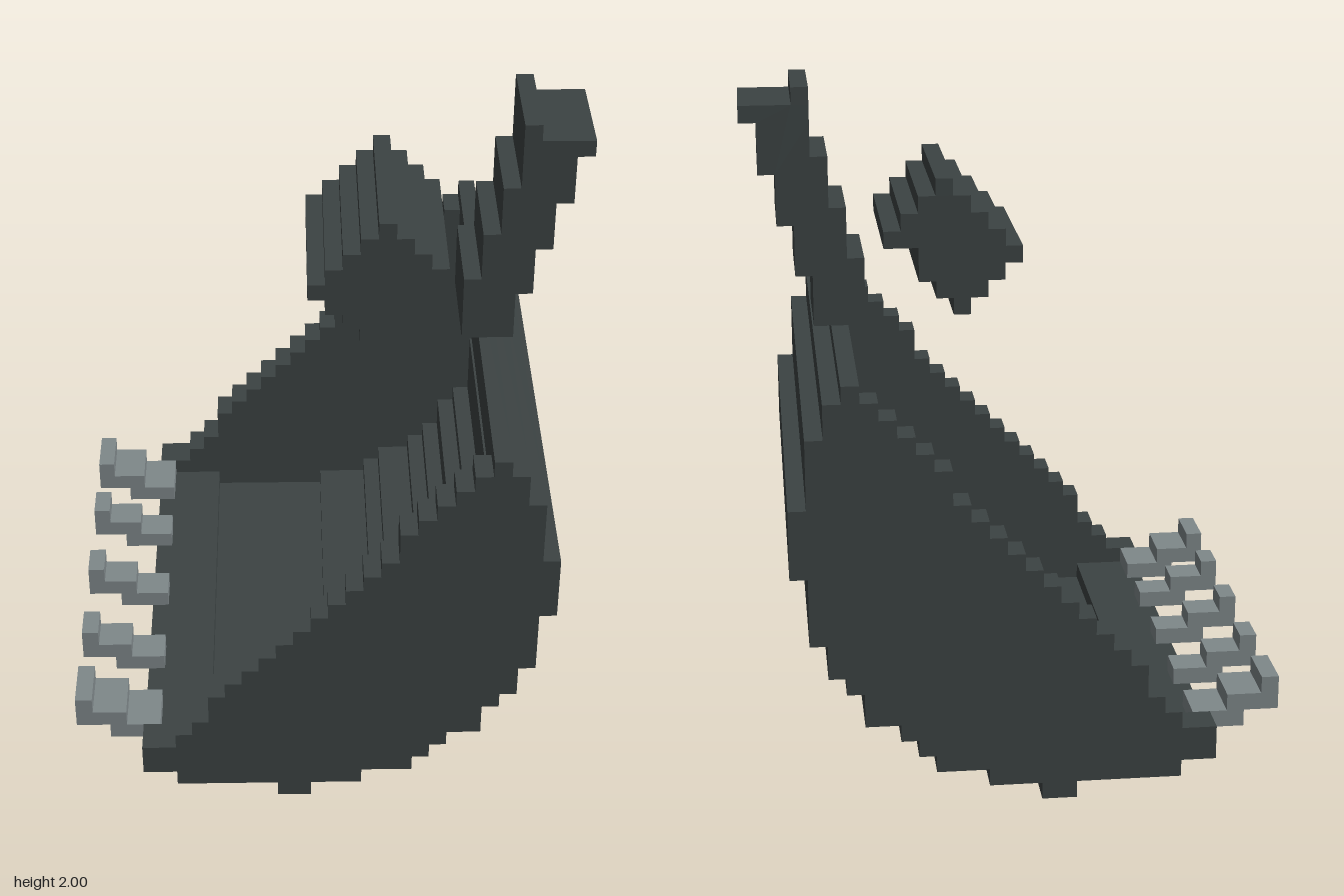
import * as THREE from 'three';

const U = 2 / 39; // size of one grid step

const steel = new THREE.MeshStandardMaterial({ color: 0x3c4343 });
steel.name = 'dark steel';
const worn = new THREE.MeshStandardMaterial({ color: 0x7f888a });
worn.name = 'worn grey';

// Stepped profile: each entry is [left, right, rowCount], stacked up from row y0; extruded from z0 to z1
function stepped(name, material, y0, rows, z0, z1) {
  const leftSide = [], rightSide = [];
  let y = y0;
  for (const [l, r, n = 1] of rows) {
    leftSide.push([l, y], [l, y + n]);
    rightSide.push([r, y], [r, y + n]);
    y += n;
  }
  const outline = [...rightSide, ...leftSide.reverse()]
    .filter((p, i, a) => i === 0 || p[0] !== a[i - 1][0] || p[1] !== a[i - 1][1])
    .map(([px, py]) => new THREE.Vector2((px - 15) * U, py * U));
  const geometry = new THREE.ExtrudeGeometry(new THREE.Shape(outline), {
    depth: (z1 - z0) * U, bevelEnabled: false,
  });
  geometry.translate(0, 0, z0 * U);
  const mesh = new THREE.Mesh(geometry, material);
  mesh.name = name;
  return mesh;
}

export function createModel() {
  const model = new THREE.Group();
  model.name = 'diggerBucket';

  // Side plates
  const side = [
    [12, 14], [6, 17], [4, 20], [4, 21], [6, 22], [7, 24], [8, 24], [8, 25], [9, 26], [10, 26],
    [11, 27], [12, 27], [13, 27], [14, 27], [15, 28], [16, 28], [17, 28], [18, 28],
    [19, 27, 2], [20, 27], [21, 27], [22, 26], [23, 26], [24, 25],
  ];
  model.add(stepped('leftCheek', steel, 0, side, 13, 15));
  model.add(stepped('rightCheek', steel, 0, side, -15, -13));

  // Curved floor and back between the plates
  const shell = [
    [12, 14], [6, 17], [15, 20], [18, 21], [19, 22], [21, 24], [22, 24], [23, 25], [23, 26], [24, 26],
    [25, 27, 4], [26, 28, 4], [25, 27, 4], [24, 26, 2], [24, 25],
  ];
  model.add(stepped('bucketShell', steel, 0, shell, -13, 13));
  model.add(stepped('cuttingLip', steel, 2, [[4, 8]], -13, 13));

  // Teeth along the lip
  const tooth = [[2, 5], [0, 3], [0, 1]];
  for (const [z0, z1] of [[-13, -10], [-7, -5], [-1, 1], [5, 7], [10, 13]]) {
    model.add(stepped('tooth', worn, 3, tooth, z0, z1));
  }

  // Leaning arm bracket above the back edge
  const arm = [
    [23, 26, 3], [23, 27], [24, 27, 2], [24, 28], [25, 28, 2],
    [25, 29], [26, 29, 2], [26, 30], [26, 27],
  ];
  model.add(stepped('armBracket', steel, 25, arm, -3, 3));

  // Pivot roller
  const roller = [[17, 18], [16, 19], [15, 20], [14, 20], [15, 22], [16, 21], [17, 20], [18, 19]];
  model.add(stepped('pivotRoller', steel, 26, roller, -5, 5));

  return model;
}
